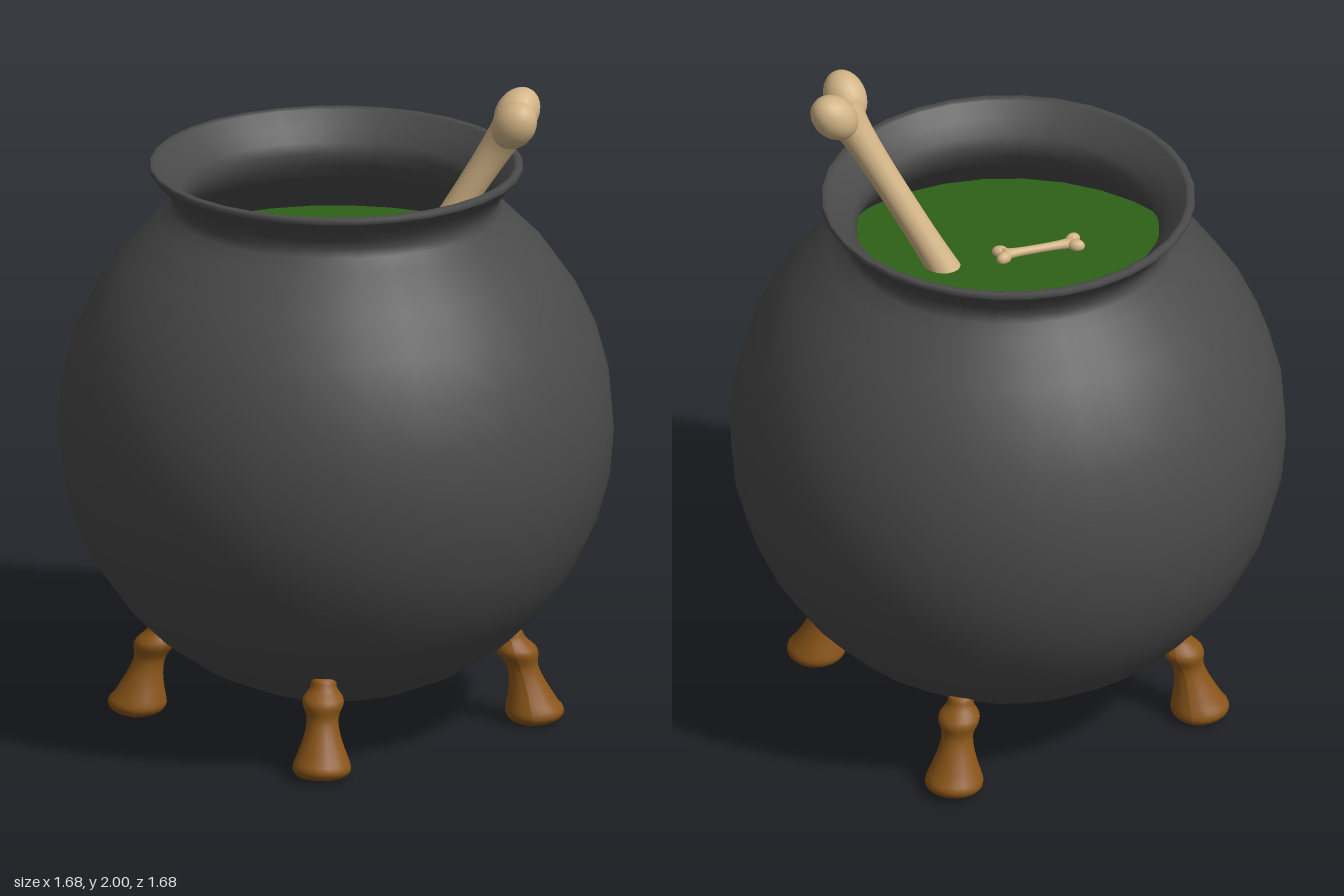
import * as THREE from 'three';

const mat = (color) => new THREE.MeshStandardMaterial({ color });
const v2 = (p) => new THREE.Vector2(p[0], p[1]);

function mesh(name, geometry, material) {
  const m = new THREE.Mesh(geometry, material);
  m.name = name;
  return m;
}

// Points on a circular arc about the pot's centre, angles measured from straight down
function arc(radius, centreY, from, to, steps) {
  return Array.from({ length: steps + 1 }, (_, i) => {
    const a = from + ((to - from) * i) / steps;
    return [Math.max(0, radius * Math.sin(a)), centreY - radius * Math.cos(a)];
  });
}

// Double-walled pot: outer bowl, neck, flared lip, inner bowl
function createPot(material) {
  const cy = 0.935;
  const profile = [
    ...arc(0.84, cy, 0, 2.44, 14),
    [0.503, 1.615], [0.494, 1.64], [0.503, 1.67], [0.53, 1.706], [0.561, 1.738],
    [0.565, 1.743], [0.565, 1.755], [0.56, 1.76], [0.545, 1.76], [0.538, 1.756],
    [0.5, 1.715], [0.468, 1.675], [0.457, 1.64], [0.468, 1.6],
    ...arc(0.79, cy, 2.46, 0, 12),
  ];
  return mesh('pot', new THREE.LatheGeometry(profile.map(v2), 32), material);
}

// Turned leg whose rings lean in towards the pot as they rise
function createLeg(material) {
  const profile = [
    [0, 0.005], [0.045, 0.005], [0.075, 0.014], [0.088, 0.03], [0.086, 0.05], [0.072, 0.085],
    [0.056, 0.13], [0.048, 0.17], [0.051, 0.195], [0.062, 0.22], [0.061, 0.24],
    [0.046, 0.26], [0.039, 0.275], [0.038, 0.29], [0.03, 0.3], [0, 0.302],
  ];
  const geo = new THREE.LatheGeometry(new THREE.SplineCurve(profile.map(v2)).getPoints(30)
    .map((p) => new THREE.Vector2(Math.max(0, p.x), p.y)), 20);
  const pos = geo.attributes.position;
  for (let i = 0; i < pos.count; i++) {
    const y = pos.getY(i);
    pos.setX(i, pos.getX(i) + 0.607 - 0.17 * y - 0.4 * y * y);
    // outer side of the sole lifts slightly
    if (y < 0.06) pos.setY(i, y + Math.max(0, pos.getX(i) - 0.607) * 0.1);
  }
  geo.computeVertexNormals();
  return mesh('leg', geo, material);
}

// Bone along y: waisted shaft that widens sideways into two knobs at each end
function createBone(name, material) {
  const group = new THREE.Group();
  group.name = name;
  const half = 0.37;
  const profile = [[0, -half]];
  for (let i = 0; i <= 20; i++) {
    const t = i / 10 - 1;
    profile.push([0.044 + 0.014 * Math.abs(t) ** 2.5, t * half]);
  }
  profile.push([0, half]);
  const shaft = new THREE.LatheGeometry(profile.map(v2), 20);
  const pos = shaft.attributes.position;
  for (let i = 0; i < pos.count; i++) {
    const t = Math.abs(pos.getY(i)) / half;
    pos.setX(i, pos.getX(i) * (1 + 0.75 * t ** 7));
  }
  shaft.computeVertexNormals();
  group.add(mesh('boneShaft', shaft, material));

  const knob = new THREE.SphereGeometry(0.063, 20, 14);
  for (const end of [-1, 1]) {
    for (const side of [-1, 1]) {
      const k = mesh('boneKnob', knob, material);
      k.position.set(side * 0.06, end * (half + 0.005), 0);
      k.scale.set(1, 1.35, 1.04);
      k.rotation.z = -side * end * 0.45;
      group.add(k);
    }
  }
  return group;
}

export function createModel() {
  const model = new THREE.Group();
  model.name = 'cauldron';
  const iron = mat(0x4a4a4a);
  const wood = mat(0x8a5518);
  const boneColor = mat(0xd2b486);
  const soupY = 1.425;

  model.add(createPot(iron));

  // Soup surface
  const soup = mesh('soup', new THREE.CircleGeometry(0.625, 32), mat(0x2e6018));
  soup.rotation.x = -Math.PI / 2;
  soup.position.y = soupY;
  model.add(soup);

  // Four legs on the axes
  for (let i = 0; i < 4; i++) {
    const leg = createLeg(wood);
    leg.rotation.y = (i * Math.PI) / 2;
    model.add(leg);
  }

  // Large bone leaning on the lip
  const lean = 0.56;
  const big = createBone('largeBone', boneColor);
  big.rotation.set(0, Math.PI / 2, -lean, 'ZYX');
  big.position.set(0.545 - 0.37 * Math.sin(lean), 1.928 - 0.37 * Math.cos(lean), 0.075);
  model.add(big);

  // Small bones floating on the soup: [x1, z1, x2, z2]
  const floating = [
    [-0.255, -0.205, -0.07, -0.08],
    [0.137, -0.305, 0.158, -0.09],
    [-0.125, 0.29, 0.063, 0.165],
  ];
  for (const [x1, z1, x2, z2] of floating) {
    const bone = createBone('floatingBone', boneColor);
    bone.scale.setScalar(Math.hypot(x2 - x1, z2 - z1) / 0.74);
    bone.rotation.set(Math.PI / 2, Math.atan2(x2 - x1, z2 - z1), 0, 'YXZ');
    bone.position.set((x1 + x2) / 2, soupY + 0.008, (z1 + z2) / 2);
    model.add(bone);
  }
  return model;
}
